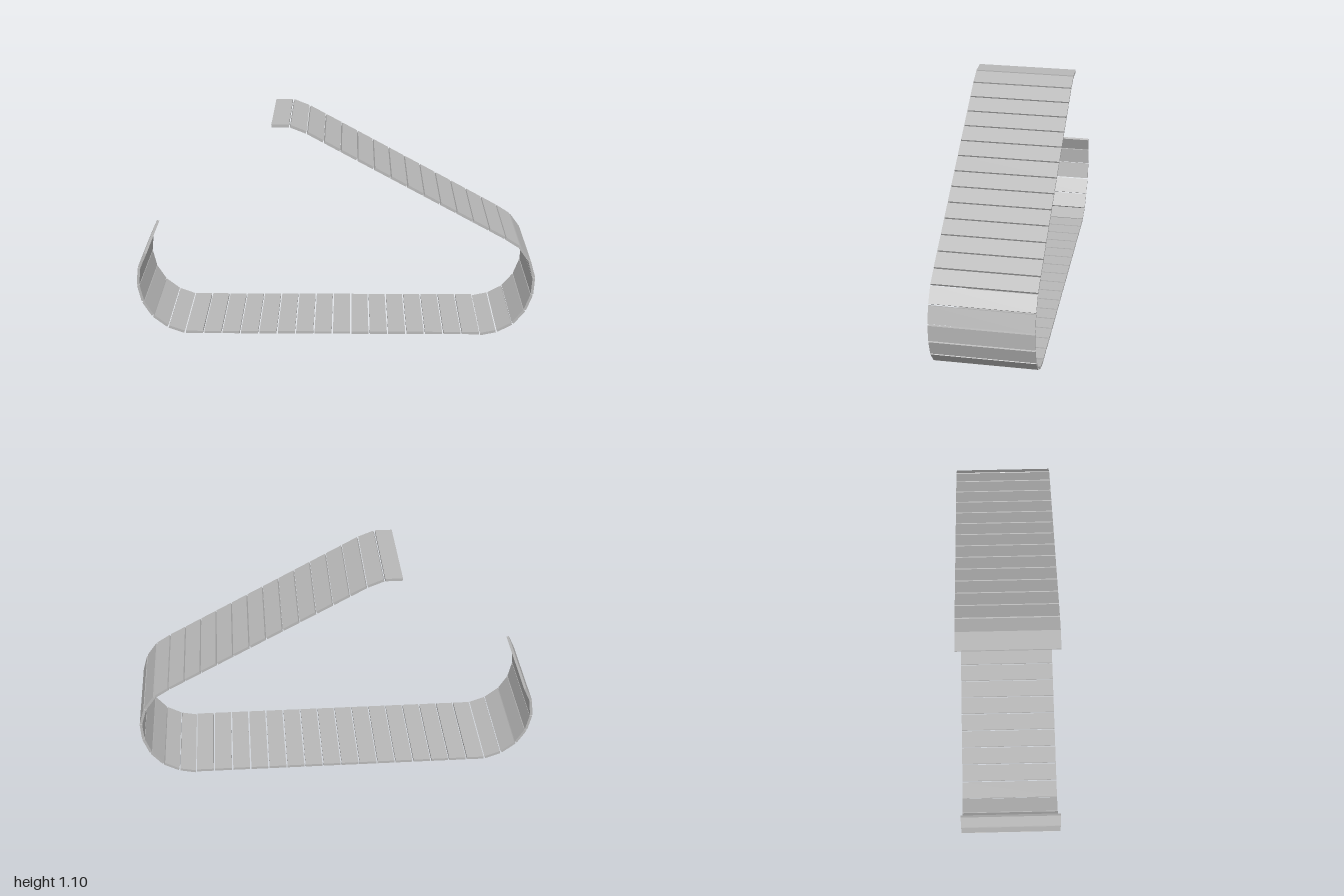
import * as THREE from 'three';

const WIDTH = 0.5, THICK = 0.013, GAP = 0.007;

export function createModel() {
  const group = new THREE.Group();
  group.name = 'trackBelt';
  const steel = new THREE.MeshStandardMaterial({ color: 0xb8b8b8 });
  steel.name = 'track grey';

  // One flat plate between two neighbouring joints of the belt
  function addPlate(name, [x0, y0], [x1, y1]) {
    const length = Math.hypot(x1 - x0, y1 - y0) - GAP;
    const plate = new THREE.Mesh(new THREE.BoxGeometry(length, THICK, WIDTH), steel);
    plate.position.set((x0 + x1) / 2, (y0 + y1) / 2, 0);
    plate.rotation.z = Math.atan2(y1 - y0, x1 - x0);
    plate.name = name;
    group.add(plate);
  }

  // A run of plates through a list of joints
  function addRun(name, joints) {
    for (let i = 1; i < joints.length; i++) addPlate(name + i, joints[i - 1], joints[i]);
  }

  // Evenly spaced joints along a straight stretch
  const straight = ([x0, y0], [x1, y1], n) =>
    Array.from({ length: n + 1 }, (_, i) => [x0 + ((x1 - x0) * i) / n, y0 + ((y1 - y0) * i) / n]);

  // Ground run
  addRun('groundPlate', straight([-0.765, 0.014], [0.731, 0.014], 16));

  // Open curl at the -x end
  addRun('curlPlate', [
    [-0.765, 0.014], [-0.85, 0.045], [-0.924, 0.103], [-0.972, 0.18],
    [-0.993, 0.27], [-0.985, 0.362], [-0.949, 0.442],
  ]);

  // Bend at the +x end
  addRun('bendPlate', [
    [0.73, 0.008], [0.815, 0.026], [0.893, 0.068], [0.953, 0.14], [0.986, 0.227],
    [0.992, 0.318], [0.966, 0.408], [0.913, 0.481], [0.84, 0.528],
  ]);

  // Sloping run and its level tip
  addRun('slopePlate', straight([0.84, 0.528], [-0.139, 1.067], 12));
  addRun('tipPlate', [[-0.139, 1.067], [-0.222, 1.1], [-0.314, 1.1]]);

  return group;
}
